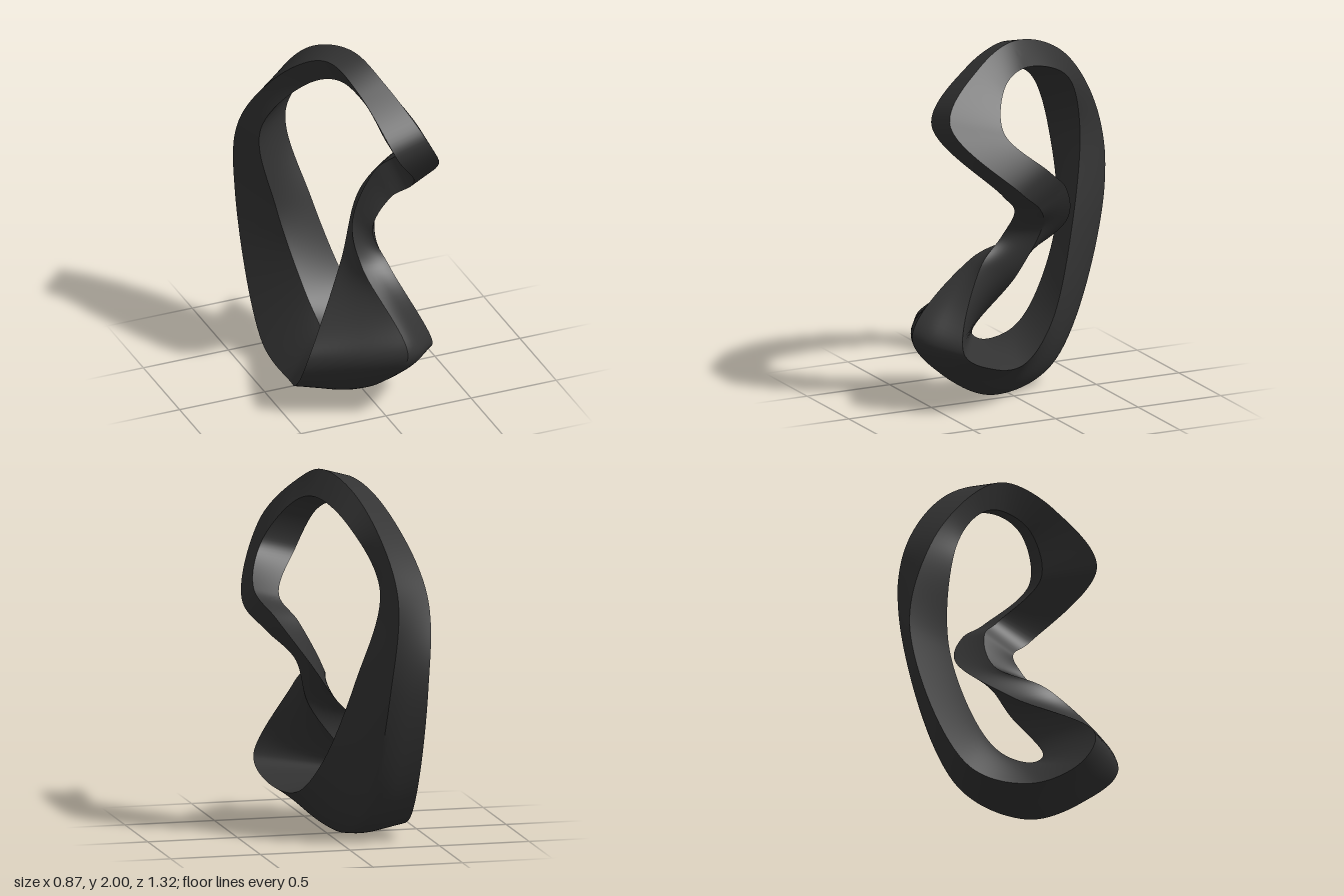
import * as THREE from 'three';
import { toCreasedNormals } from 'three/addons/utils/BufferGeometryUtils.js';

// Each row is one diamond-shaped section: centre, then its two half diagonals
const SECTIONS = [
  // top and upper front bend
  [-.02, 1.91, -.01, -.105, .05, .01, .035, .09, .01],
  [.06, 1.83, .2, -.11, .04, .06, .04, .075, .055],
  [.18, 1.59, .37, -.13, .01, .155, .065, .055, .14],
  // elbow
  [.345, 1.29, .1, -.065, -.07, .11, .085, -.025, .07],
  [.26, 1.16, -.03, -.065, -.065, .125, .08, -.03, .04],
  [.12, .96, -.06, -.035, -.025, .175, .08, .025, -.01],
  [.03, .75, .14, .09, .03, .125, .065, -.045, -.11],
  // broad lower lobe
  [-.055, .38, .42, .35, -.015, .03, -.14, -.06, -.265],
  [-.08, .22, .28, .355, .03, -.02, -.1, .065, -.18],
  [-.1, .145, .03, .275, .08, -.01, -.06, .175, -.08],
  [-.15, .265, -.25, .235, .14, .065, -.03, .18, .06],
  // back strand
  [-.23, .89, -.515, .17, .01, .13, -.035, -.01, .125],
  [-.295, 1.41, -.51, .125, .01, .025, -.065, -.015, .125],
  [-.14, 1.8, -.27, .11, -.045, -.06, -.03, -.06, .085],
];

const STEPS = 216; // rings along the loop
const HALF = 5;    // segments from a face's middle to its corner

// Corner k of a section lies at the plus or minus end of one diagonal
function cornerPoint(row, k) {
  const diagonal = new THREE.Vector3().fromArray(row, k % 2 ? 6 : 3);
  return new THREE.Vector3().fromArray(row).addScaledVector(diagonal, k < 2 ? 1 : -1);
}

// The loop makes a half twist, so every edge closes after two laps
function edgeCurves() {
  return [0, 1, 2, 3].map(k => new THREE.CatmullRomCurve3(
    [k, (k + 2) % 4].flatMap(c => SECTIONS.map(row => cornerPoint(row, c))), true));
}

// One ring, running face middle - corner - face middle; the last corner is rounded in the lobe
function ring(corners, round) {
  const points = [];
  corners.forEach((corner, k) => {
    const from = corner.clone().lerp(corners[(k + 3) % 4], .5);
    const to = corner.clone().lerp(corners[(k + 1) % 4], .5);
    const bend = new THREE.QuadraticBezierCurve3(from, corner, to);
    for (let j = 0; j < 2 * HALF; j++) {
      const p = j < HALF ? from.clone().lerp(corner, j / HALF) : corner.clone().lerp(to, j / HALF - 1);
      if (k === 3) p.lerp(bend.getPoint(j / (2 * HALF)), round);
      points.push(p);
    }
  });
  return points;
}

// Skin the rings into one closed surface, smooth along the loop and sharp at its edges
function loopGeometry() {
  const edges = edgeCurves();
  const count = 8 * HALF;
  const positions = [], index = [];
  for (let i = 0; i <= STEPS; i++) {
    const station = i / STEPS * SECTIONS.length;
    const round = .75 * Math.max(0, 1 - ((station - 8.6) / 3) ** 2);
    const points = ring(edges.map(e => e.getPoint(i / STEPS / 2)), round);
    points.forEach(p => positions.push(p.x, p.y, p.z));
    if (i === STEPS) break;
    for (let j = 0; j < count; j++) {
      const a = i * count + j, b = i * count + (j + 1) % count;
      index.push(a, a + count, b, b, a + count, b + count);
    }
  }
  const geometry = new THREE.BufferGeometry();
  geometry.setAttribute('position', new THREE.Float32BufferAttribute(positions, 3));
  geometry.setIndex(index);
  return toCreasedNormals(geometry, .6);
}

export function createModel() {
  const group = new THREE.Group();
  group.name = 'sculpture';
  const loop = new THREE.Mesh(loopGeometry(), new THREE.MeshStandardMaterial({ color: 0x333333 }));
  loop.name = 'twistedLoop';
  group.add(loop);
  return group;
}
